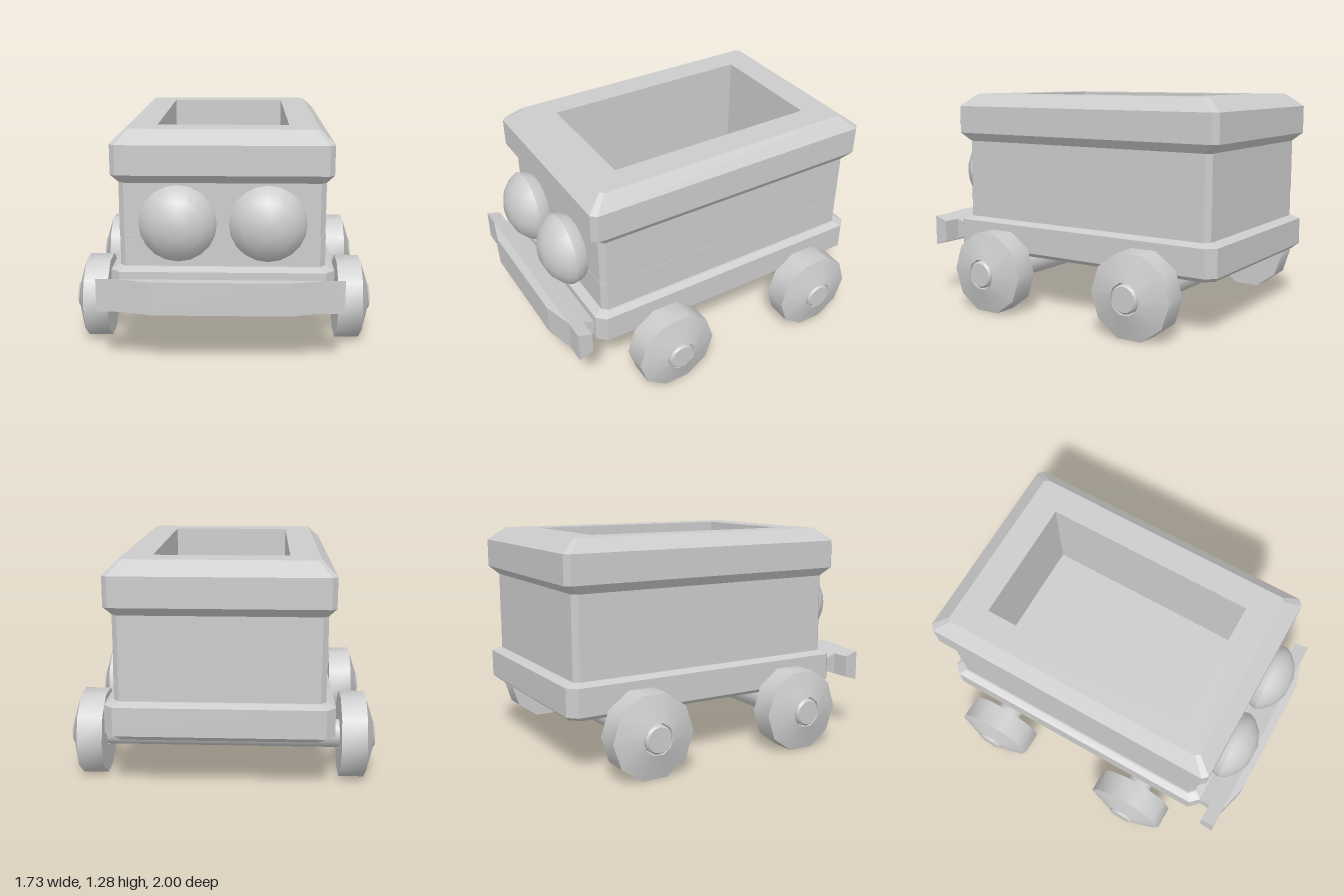
import * as THREE from 'three';
import { toCreasedNormals } from 'three/addons/utils/BufferGeometryUtils.js';

const material = new THREE.MeshStandardMaterial({ color: 0xcccccc });

// Chamfered rectangle at height y, counter-clockwise from above
function ring([y, hx, hz, c]) {
  const corners = [[hx, -hz + c], [hx - c, -hz], [-hx + c, -hz], [-hx, -hz + c],
    [-hx, hz - c], [-hx + c, hz], [hx - c, hz], [hx, hz - c]];
  return corners.map(([x, z]) => [x, y, z]);
}

// Flat-faced loft through rings of [y, halfX, halfZ, chamfer]
function loft(sections) {
  const rings = sections.map(ring);
  const positions = [];
  const tri = (...points) => points.forEach(p => positions.push(...p));
  for (let i = 0; i < rings.length - 1; i++) {
    for (let j = 0; j < 8; j++) {
      const k = (j + 1) % 8;
      tri(rings[i][j], rings[i][k], rings[i + 1][k]);
      tri(rings[i][j], rings[i + 1][k], rings[i + 1][j]);
    }
  }
  const first = rings[0], last = rings[rings.length - 1];
  for (let j = 1; j < 7; j++) {
    tri(first[0], first[j + 1], first[j]);
    tri(last[0], last[j], last[j + 1]);
  }
  const geometry = new THREE.BufferGeometry();
  geometry.setAttribute('position', new THREE.Float32BufferAttribute(positions, 3));
  geometry.computeVertexNormals();
  return geometry;
}

// Turned part with smooth sides and crisp edges
function turned(profile, sides, crease) {
  const points = profile.map(([r, y]) => new THREE.Vector2(r, y));
  return toCreasedNormals(new THREE.LatheGeometry(points, sides), crease);
}

export function createModel() {
  const model = new THREE.Group();
  model.name = 'wagon';
  const add = (name, geometry, x, y, z) => {
    const mesh = new THREE.Mesh(geometry, material);
    mesh.name = name;
    mesh.position.set(x, y, z);
    model.add(mesh);
    return mesh;
  };

  // Chassis, box walls, and rim whose inside drops to the load floor
  add('chassis', loft([
    [0.31, 0.575, 0.865, 0.05], [0.34, 0.62, 0.9, 0.05],
    [0.5, 0.62, 0.9, 0.05], [0.52, 0.58, 0.855, 0.04],
  ]), 0, 0, -0.1);
  const walls = loft([[0.51, 0.57, 0.845, 0.03], [0.7, 0.57, 0.845, 0.03]]);
  add('lowerWalls', walls, 0, 0, -0.1);
  add('rimAndHopper', loft([
    [0.7, 0.57, 0.845, 0.03], [0.99, 0.57, 0.845, 0.03],
    [1.04, 0.607, 0.9, 0.03], [1.205, 0.607, 0.9, 0.03],
    [1.28, 0.53, 0.805, 0.02], [1.28, 0.368, 0.635, 0.0005],
    [0.72, 0.368, 0.635, 0.0005],
  ]), -0.002, 0, -0.102);

  // Front bumper: lofted front to back, growing taller towards the front
  const bumper = loft([
    [0.8, 0.56, 0.042, 0], [0.865, 0.56, 0.065, 0], [0.865, 0.668, 0.065, 0],
    [0.95, 0.668, 0.092, 0], [0.95, 0.555, 0.092, 0], [1, 0.37, 0.092, 0],
  ]).rotateX(Math.PI / 2);
  add('bumper', bumper, -0.007, 0.415, 0);

  // Headlights
  const lamp = turned([[0, 0], [0.185, 0], [0.205, 0.035], [0.212, 0.075], [0.192, 0.115],
    [0.14, 0.165], [0.06, 0.2], [0, 0.2]], 20, 0.6).rotateX(Math.PI / 2);
  for (const x of [-0.24, 0.248]) add('headlight', lamp, x, 0.785, 0.757);

  // Axles with ten-sided wheels
  const axle = turned([[0, -0.867], [0.07, -0.867], [0.08, -0.855], [0.08, 0.855],
    [0.07, 0.867], [0, 0.867]], 16, 0.6).rotateZ(-Math.PI / 2);
  const wheel = turned([[0.09, 0], [0.245, 0], [0.245, 0.142], [0.09, 0.19], [0.09, 0]],
    10, 0.7).rotateZ(-Math.PI / 2);
  for (const z of [0.4, -0.602]) {
    add('axle', axle, -0.004, 0.233, z);
    for (const side of [1, -1]) {
      const mesh = add('wheel', wheel, side * 0.665 - 0.004, 0.233, z);
      if (side < 0) mesh.rotation.y = Math.PI;
    }
  }
  return model;
}
